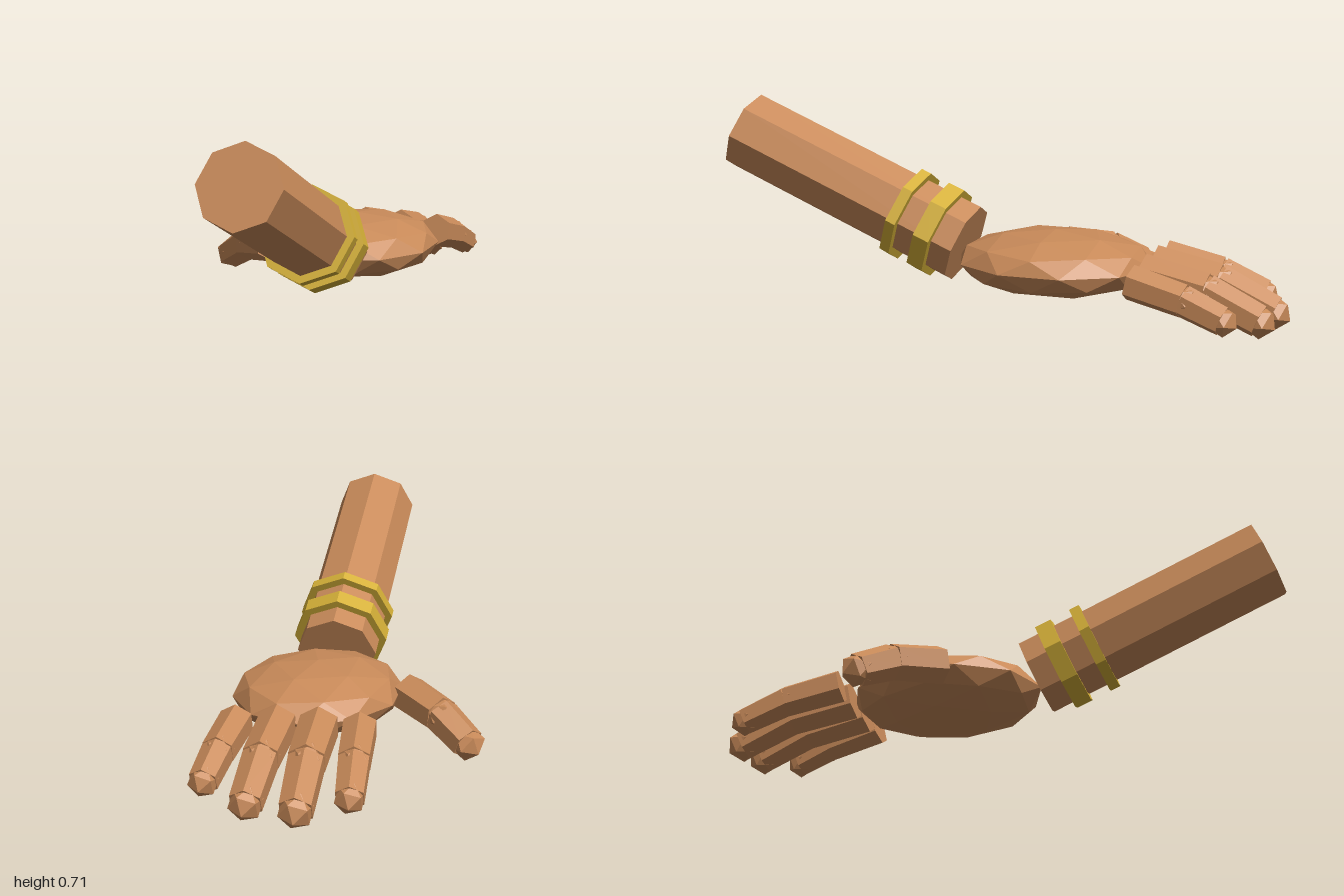
import * as THREE from 'three';

const skin = new THREE.MeshStandardMaterial({ color: 0xc88a59, flatShading: true });
skin.name = 'skin';
const gold = new THREE.MeshStandardMaterial({ color: 0xd4af37, flatShading: true });
gold.name = 'gold';

const V = (x, y, z) => new THREE.Vector3(x, y, z);

function add(parent, name, geometry, material) {
  const mesh = new THREE.Mesh(geometry, material);
  mesh.name = name;
  parent.add(mesh);
  return mesh;
}

// Turns a mesh so its own y follows a direction and its first side corner points up
function aim(mesh, position, direction) {
  const y = direction.clone().normalize();
  const x = y.clone().cross(V(0, 1, 0)).normalize();
  const z = x.clone().cross(y);
  mesh.quaternion.setFromRotationMatrix(new THREE.Matrix4().makeBasis(x, y, z));
  mesh.position.copy(position);
}

// Faceted prism running from a to b
function limb(parent, name, a, b, rA, rB, sides, material) {
  const dir = b.clone().sub(a);
  const mesh = add(parent, name, new THREE.CylinderGeometry(rB, rA, dir.length(), sides), material);
  aim(mesh, a.clone().add(b).multiplyScalar(0.5), dir);
}

// Faceted ball with a corner on its y axis
function ball(radius, detail) {
  return new THREE.IcosahedronGeometry(radius, detail).rotateZ(-Math.atan(2 / (1 + Math.sqrt(5))));
}

// Two segments, a knuckle and a rounded tip
function digit(parent, name, base, knuckle, end, r) {
  const group = new THREE.Group();
  group.name = name;
  limb(group, 'lowerSegment', base, knuckle, r, r * 0.94, 6, skin);
  limb(group, 'upperSegment', knuckle, end, r * 0.92, r * 0.83, 6, skin);
  aim(add(group, 'knuckle', ball(r * 0.94, 0), skin), knuckle, end.clone().sub(base));
  aim(add(group, 'fingertip', ball(r * 0.85, 0), skin), end, end.clone().sub(knuckle));
  parent.add(group);
}

export function createModel() {
  const model = new THREE.Group();
  model.name = 'hand';

  // Forearm sloping up towards the front
  const wrist = V(0.147, 0.222, 0.115);
  const elbow = V(0.147, 0.57, 0.947);
  limb(model, 'forearm', wrist, elbow, 0.141, 0.141, 8, skin);

  // Bangles: distance along the forearm, width
  const along = elbow.clone().sub(wrist).normalize();
  for (const [d, w] of [[0.107, 0.06], [0.228, 0.037]]) {
    const at = (t) => wrist.clone().addScaledVector(along, t);
    limb(model, 'bangle', at(d - w / 2), at(d + w / 2), 0.167, 0.167, 8, gold);
  }

  // Palm: flattened faceted ball
  const palm = add(model, 'palm', ball(1, 1).scale(0.288, 0.11, 0.342), skin);
  palm.position.set(0.147, 0.185, -0.21);

  // Fingers: base x, knuckle x, end x, knuckle z, end y, end z, radius
  const fingers = [
    ['indexFinger', -0.057, -0.074, -0.087, -0.728, 0.076, -0.875, 0.061],
    ['middleFinger', 0.077, 0.072, 0.067, -0.757, 0.052, -0.943, 0.07],
    ['ringFinger', 0.213, 0.22, 0.227, -0.752, 0.059, -0.93, 0.068],
    ['littleFinger', 0.35, 0.368, 0.382, -0.717, 0.088, -0.848, 0.06],
  ];
  for (const [name, x0, x1, x2, z1, y2, z2, r] of fingers) {
    digit(model, name, V(x0, 0.182, -0.535), V(x1, 0.139, z1), V(x2, y2, z2), r);
  }

  // Thumb
  digit(model, 'thumb', V(-0.15, 0.175, -0.147), V(-0.283, 0.145, -0.27), V(-0.385, 0.083, -0.357), 0.069);

  return model;
}
